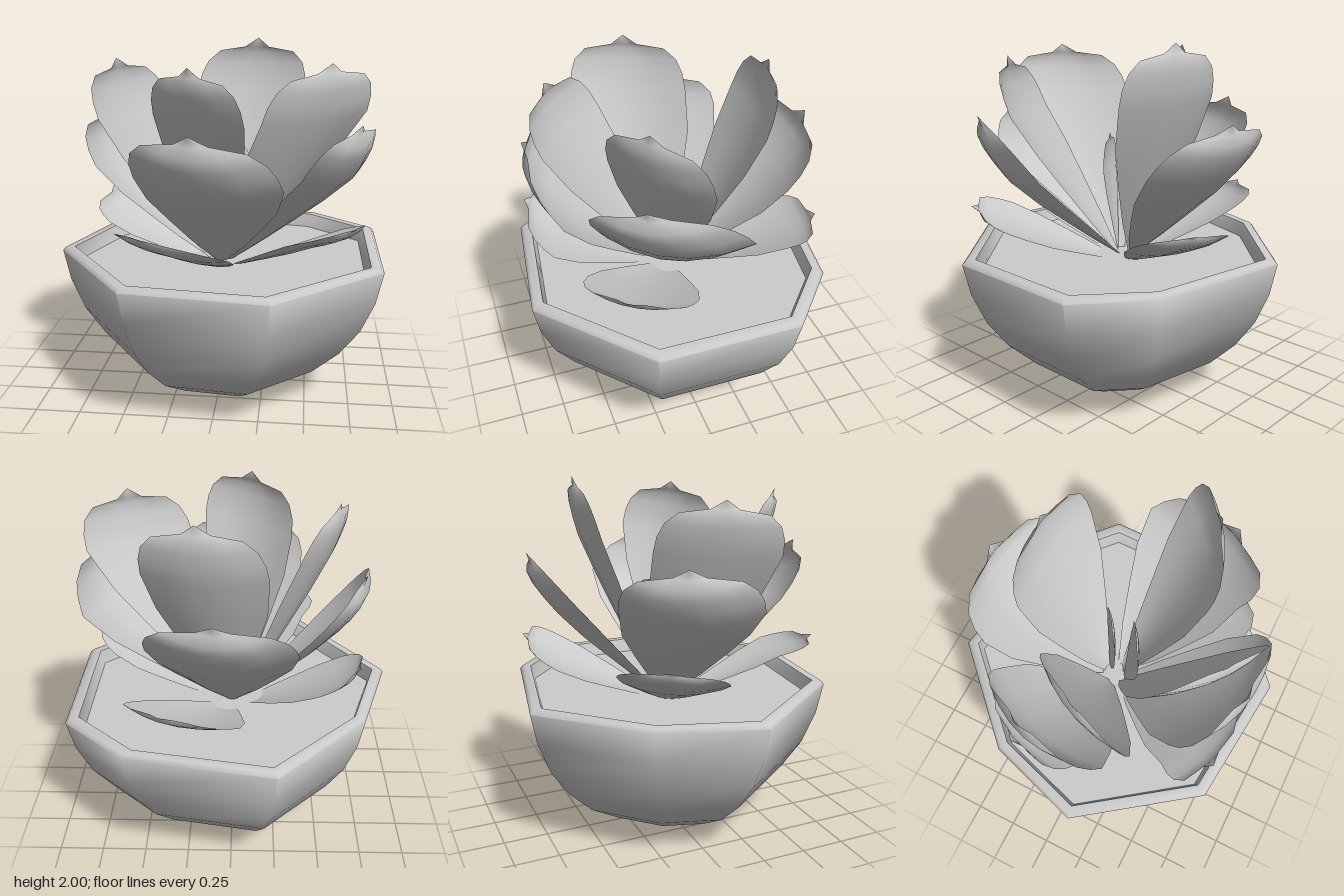
import * as THREE from 'three';
import { toCreasedNormals } from 'three/addons/utils/BufferGeometryUtils.js';

const V = (p) => new THREE.Vector3(...p);
const grey = new THREE.MeshStandardMaterial({ color: 0xcccccc });
const thin = new THREE.MeshStandardMaterial({ color: 0xcccccc, side: THREE.DoubleSide });

// Uneven eight-sided plan of the pot (x, z)
const plan = [[-0.24, -0.87], [0.55, -0.73], [0.9, -0.42], [0.9, 0.36],
  [0.32, 0.87], [-0.44, 0.79], [-0.9, 0.16], [-0.73, -0.38]];

// Skin a stack of rows of points; closed rows wrap around
function skin(rows, closed) {
  const n = rows[0].length, pos = rows.flat().flatMap((p) => p.toArray()), idx = [];
  for (let i = 0; i < rows.length - 1; i++) {
    for (let j = 0; j < (closed ? n : n - 1); j++) {
      const k = (j + 1) % n, a = i * n + j, b = i * n + k;
      idx.push(a, a + n, b, b, a + n, b + n);
    }
  }
  const g = new THREE.BufferGeometry();
  g.setAttribute('position', new THREE.Float32BufferAttribute(pos, 3));
  g.setIndex(idx);
  g.computeVertexNormals();
  return g;
}

// Stack of [scale, height] rings following the plan
const rings = (profile) => skin(profile.map(([s, y]) => plan.map(([x, z]) => V([x * s, y, z * s]))), true);

// Leaf outline: [position below the widest row (0..1) or above it (1..2), relative width]
const outline = [[0, 0.08], [0.25, 0.4], [0.5, 0.66], [0.75, 0.9], [1, 1],
  [1.3, 0.97], [1.55, 0.88], [1.75, 0.68], [1.83, 0.22], [2, 0]];

// Cupped leaf given its two widest edge points and its tip
function leaf(name, { cup, baseY }, [left, right, tip]) {
  const L = V(left), R = V(right), T = V(tip);
  const mid = L.clone().add(R).multiplyScalar(0.5);
  const half = R.clone().sub(L).multiplyScalar(0.5);
  const base = new THREE.Vector3(mid.x, 0, mid.z).setLength(0.06).setY(baseY);
  const out = half.clone().cross(T.clone().sub(base)).normalize();
  if (out.y > 0) out.negate();
  const rows = outline.map(([t, w]) => {
    const c = t <= 1 ? base.clone().lerp(mid, t) : mid.clone().lerp(T, t - 1);
    return [-1, -0.6, -0.2, 0.2, 0.6, 1].map((s) =>
      c.clone().addScaledVector(half, s * w).addScaledVector(out, cup * w * (1 - s * s)));
  });
  const mesh = new THREE.Mesh(skin(rows, false), thin);
  mesh.name = name;
  return mesh;
}

// Tiers of leaves, each leaf as left edge, right edge, tip
const tiers = {
  budLeaf: { cup: 0.02, baseY: 0.78, leaves: [
    [[-0.11, 1.27, 0.19], [0.15, 1.27, 0.04], [0.01, 1.46, 0.12]],
    [[-0.1, 1.27, 0.05], [0.15, 1.27, -0.12], [0.04, 1.46, -0.04]],
  ] },
  innerLeaf: { cup: 0.06, baseY: 0.78, leaves: [
    [[-0.33, 1.65, 0.3], [0.18, 1.65, 0.71], [-0.1, 1.92, 0.62]],
    [[0.24, 1.62, 0.4], [0.79, 1.65, 0.04], [0.59, 1.92, 0.29]],
    [[-0.33, 1.65, -0.22], [-0.6, 1.63, 0.38], [-0.57, 1.92, 0.07]],
    [[-0.19, 1.7, -0.44], [0.45, 1.7, -0.36], [0.17, 2, -0.48]],
  ] },
  middleLeaf: { cup: 0.1, baseY: 0.78, leaves: [
    [[-0.4, 1.36, 0.51], [0.37, 1.34, 0.67], [-0.08, 1.62, 0.77]],
    [[0.45, 1.36, 0.52], [0.8, 1.36, -0.17], [0.75, 1.62, 0.36]],
    [[-0.41, 1.37, -0.44], [-0.66, 1.36, 0.26], [-0.7, 1.62, -0.19]],
    [[-0.34, 1.37, -0.6], [0.43, 1.36, -0.52], [0.08, 1.62, -0.77]],
  ] },
  outerLeaf: { cup: 0.05, baseY: 0.74, leaves: [
    [[-0.43, 1.04, 0.5], [0.11, 0.99, 0.69], [-0.33, 1.11, 0.76]],
    [[0.38, 1.04, 0.57], [0.69, 0.99, 0.07], [0.74, 1.11, 0.47]],
    [[-0.42, 1.04, -0.46], [-0.64, 0.99, 0.08], [-0.7, 1.12, -0.28]],
    [[-0.05, 0.99, -0.66], [0.51, 1.04, -0.5], [0.35, 1.11, -0.75]],
  ] },
};

export function createModel() {
  const model = new THREE.Group();
  model.name = 'pottedSucculent';

  // Rounded bowl with a bevelled rim and a short inner wall
  const pot = new THREE.Mesh(toCreasedNormals(rings([[0, 0], [0.2, 0.005], [0.41, 0.07], [0.6, 0.175],
    [0.76, 0.32], [0.88, 0.48], [0.96, 0.66], [1, 0.84], [0.98, 0.86], [0.925, 0.86], [0.895, 0.77]]), 1.15), grey);
  pot.name = 'pot';

  // Flat soil surface
  const soil = new THREE.Mesh(rings([[0.9, 0.78], [0, 0.78]]), grey);
  soil.name = 'soil';
  model.add(pot, soil);

  for (const [name, tier] of Object.entries(tiers)) {
    tier.leaves.forEach((points, i) => model.add(leaf(`${name}${i + 1}`, tier, points)));
  }
  return model;
}
